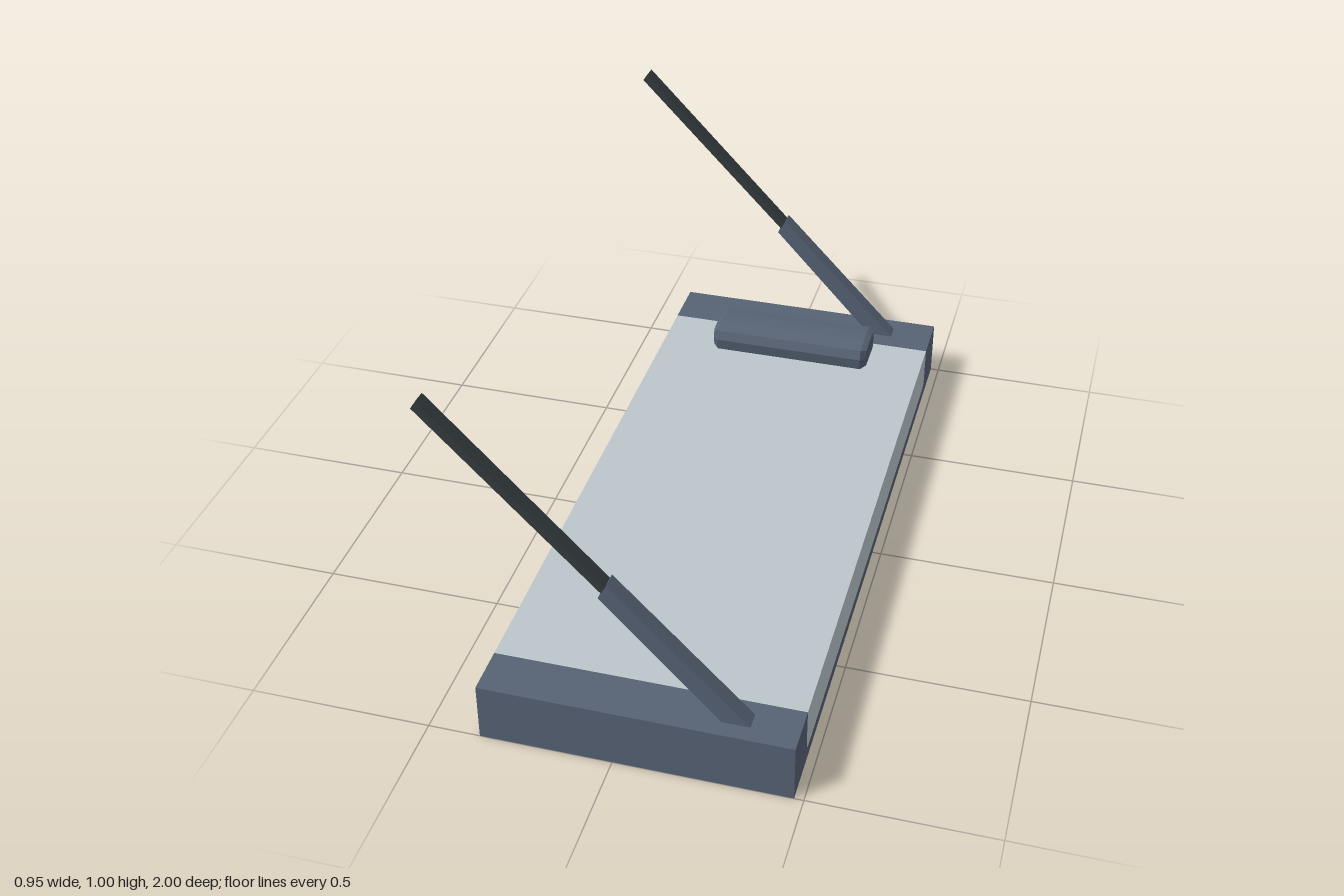
import * as THREE from 'three';

const polygon = (pts) => new THREE.Shape(pts.map(([x, y]) => new THREE.Vector2(x, y)));

// Continues a path along the U-shaped edge of the panel, from top corner a to top corner b
function traceU(path, a, b, top, bottom, r) {
  const s = Math.sign(b - a);
  path.lineTo(a, top);
  path.lineTo(a, bottom + r);
  path.quadraticCurveTo(a, bottom, a + s * r, bottom);
  path.lineTo(b - s * r, bottom);
  path.quadraticCurveTo(b, bottom, b, bottom + r);
  path.lineTo(b, top);
}

// Loft of closed (z, y) rings along x, with flat facets and end caps
function loft(rings) {
  const n = rings[0].length;
  const pos = [];
  const tri = (a, b, c) => pos.push(...a, ...b, ...c);
  for (let k = 0; k < rings.length - 1; k++) {
    for (let i = 0; i < n; i++) {
      const j = (i + 1) % n;
      const [a, b, c, d] = [rings[k][i], rings[k][j], rings[k + 1][j], rings[k + 1][i]];
      tri(a, b, c);
      tri(a, c, d);
    }
  }
  const last = rings[rings.length - 1];
  for (let i = 1; i < n - 1; i++) {
    tri(rings[0][0], rings[0][i + 1], rings[0][i]);
    tri(last[0], last[i], last[i + 1]);
  }
  const geo = new THREE.BufferGeometry();
  geo.setAttribute('position', new THREE.Float32BufferAttribute(pos, 3));
  geo.computeVertexNormals();
  return geo;
}

export function createModel() {
  const model = new THREE.Group();
  const slate = new THREE.MeshStandardMaterial({ name: 'slate', color: 0x566274 });
  const paleGrey = new THREE.MeshStandardMaterial({ name: 'pale grey', color: 0xbac5cb });
  const charcoal = new THREE.MeshStandardMaterial({ name: 'charcoal', color: 0x343b3d });

  const add = (name, geo, mat, parent = model) => {
    const mesh = new THREE.Mesh(geo, mat);
    mesh.name = name;
    parent.add(mesh);
    return mesh;
  };

  // Base slab and the pale panel set flush into it, both running along x
  const x0 = -0.358, x1 = 0.475, top = 0.168;
  const alongX = (shape) =>
    new THREE.ExtrudeGeometry(shape, { depth: x1 - x0, bevelEnabled: false, curveSegments: 6 })
      .rotateY(Math.PI / 2).translate(x0, 0, 0);

  const frame = new THREE.Shape();
  frame.moveTo(-1, 0);
  frame.lineTo(1, 0);
  frame.lineTo(1, top);
  traceU(frame, 0.845, -0.865, top, 0.035, 0.025);
  frame.lineTo(-1, top);
  frame.closePath();
  add('base', alongX(frame), slate);

  const inset = new THREE.Shape();
  inset.moveTo(0.845, top);
  traceU(inset, -0.865, 0.845, top, 0.035, 0.025);
  inset.closePath();
  add('panel', alongX(inset), paleGrey);

  // Faceted pad lying across the back end, its ends slightly tapered
  const half = [[0.064, 0.168], [0.076, 0.175], [0.083, 0.212], [0.074, 0.242], [0.025, 0.25]];
  const profile = [...half, ...half.slice().reverse().map(([z, y]) => [-z, y])];
  const ring = (x, s) => profile.map(([z, y]) => [x, 0.209 + (y - 0.209) * s, -0.752 - z * s]);
  add('pad', loft([ring(-0.19, 0.8), ring(-0.174, 1), ring(0.291, 1), ring(0.307, 0.8)]), slate);

  // Two slanted arms, each a wide sleeve with a thin rod
  const sleeve = polygon([[0.275, 0.168], [0.35, 0.168], [-0.012, 0.541], [-0.035, 0.5]]);
  const rod = polygon([[-0.006, 0.492], [0.007, 0.508], [-0.463, 0.995], [-0.477, 0.976]]);
  const slab = (shape, depth) =>
    new THREE.ExtrudeGeometry(shape, { depth, bevelEnabled: false }).translate(0, 0, -depth / 2);
  for (const [name, z] of [['frontArm', 0.931], ['backArm', -0.926]]) {
    const arm = new THREE.Group();
    arm.name = name;
    arm.position.z = z;
    add('sleeve', slab(sleeve, 0.048), slate, arm);
    add('rod', slab(rod, 0.042), charcoal, arm);
    model.add(arm);
  }
  return model;
}
